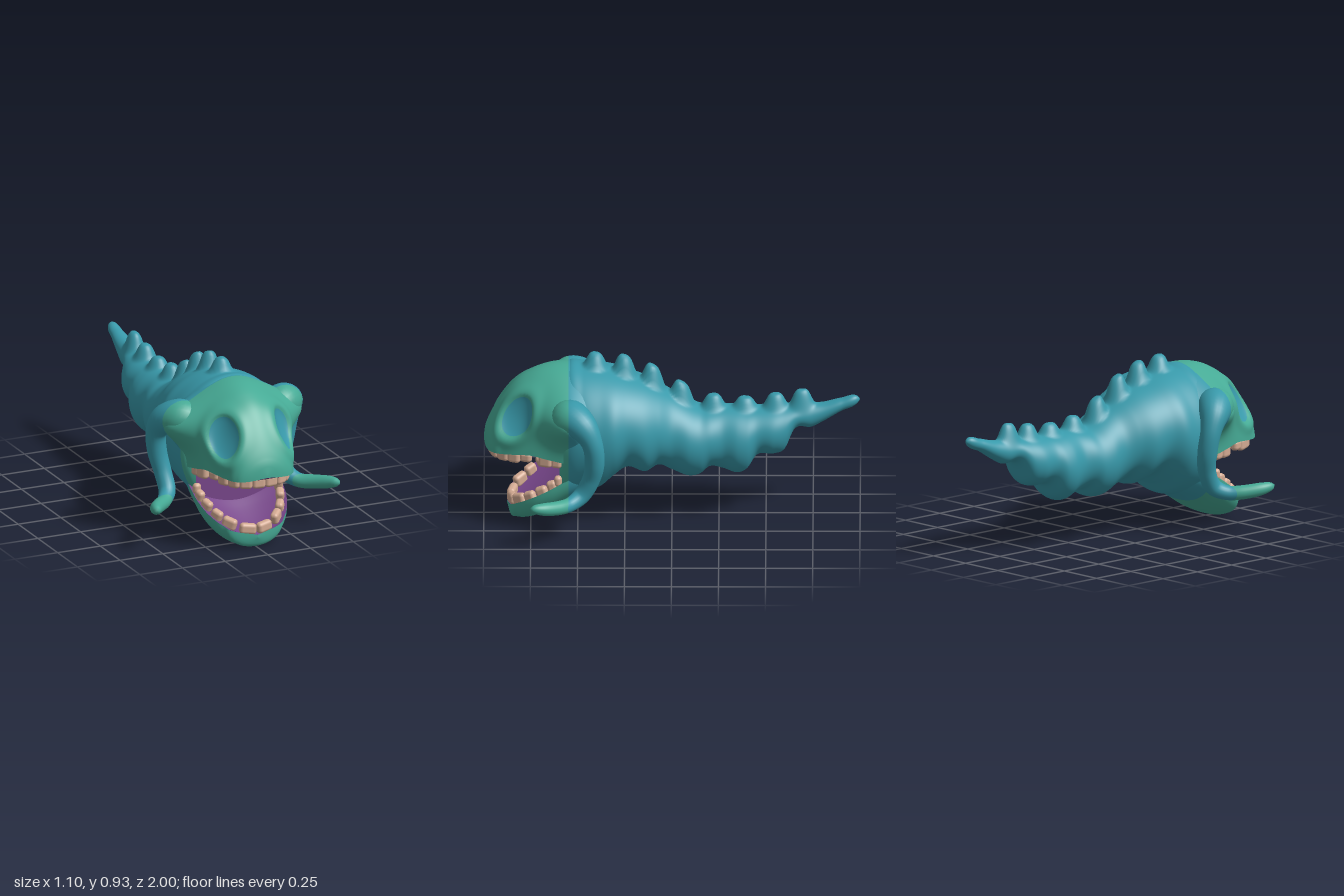
import * as THREE from 'three';
import { mergeVertices } from 'three/addons/utils/BufferGeometryUtils.js';
import { ParametricGeometry } from 'three/addons/geometries/ParametricGeometry.js';
import { RoundedBoxGeometry } from 'three/addons/geometries/RoundedBoxGeometry.js';

const mat = (name, color) => Object.assign(new THREE.MeshStandardMaterial({ color }), { name });
const PI = Math.PI;
const spow = (v, p) => Math.sign(v) * Math.abs(v) ** p;

// Smooth lookup through rows of [key, a, b, c]
function track(rows) {
  const f = new THREE.CubicInterpolant(rows.map(r => r[0]), rows.flatMap(r => r.slice(1)), rows[0].length - 1);
  return k => Array.from(f.evaluate(k));
}

// Smooth surface from a function of (u, v)
function surface(fn, nu, nv) {
  let g = new ParametricGeometry(fn, nu, nv);
  g.deleteAttribute('uv');
  g.deleteAttribute('normal');
  g = mergeVertices(g, 1e-5);
  g.computeVertexNormals();
  return g;
}

// Split a geometry cleanly into two material groups, where f > 0 and f < 0
function splitBy(geo, f) {
  const g = geo.toNonIndexed(), P = g.attributes.position, N = g.attributes.normal;
  const sides = [[], []];
  for (let i = 0; i < P.count; i += 3) {
    const tri = [0, 1, 2].map(k => {
      const p = new THREE.Vector3().fromBufferAttribute(P, i + k);
      return { p, n: new THREE.Vector3().fromBufferAttribute(N, i + k), d: f(p) };
    });
    [1, -1].forEach((s, side) => {
      const poly = [];
      tri.forEach((a, k) => {
        const b = tri[(k + 1) % 3];
        if (a.d * s >= 0) poly.push(a);
        if (a.d * b.d < 0) {
          const t = a.d / (a.d - b.d);
          poly.push({ p: a.p.clone().lerp(b.p, t), n: a.n.clone().lerp(b.n, t).normalize() });
        }
      });
      for (let k = 1; k + 1 < poly.length; k++) sides[side].push(poly[0], poly[k], poly[k + 1]);
    });
  }
  const all = sides.flat(), out = new THREE.BufferGeometry();
  out.setAttribute('position', new THREE.Float32BufferAttribute(all.flatMap(q => q.p.toArray()), 3));
  out.setAttribute('normal', new THREE.Float32BufferAttribute(all.flatMap(q => q.n.toArray()), 3));
  out.addGroup(0, sides[0].length, 0);
  out.addGroup(sides[0].length, sides[1].length, 1);
  return out;
}

const faceLine = p => p.z - 0.55;

// Distance from the eye centre in eye radii, mirrored across x
function eyeDist(p) {
  const q = 0.65 * (Math.abs(p.x) - 0.18) - 0.76 * (p.z - 0.825), b = p.y - 0.628;
  return Math.hypot((q * 0.89 - b * 0.45) / 0.085, (q * 0.45 + b * 0.89) / 0.105);
}

export function createModel() {
  const root = new THREE.Group();
  const green = mat('faceGreen', 0x46aa95), teal = mat('bodyTeal', 0x3899aa);
  const purple = mat('mouthPurple', 0x77468a), bone = mat('toothBone', 0xd3aa92);
  purple.side = THREE.DoubleSide;
  const skin = [green, teal];
  const add = (name, geo, m) => {
    const mesh = new THREE.Mesh(geo, m);
    mesh.name = name;
    root.add(mesh);
    return mesh;
  };

  // Ribbed body, tail to mouth: z, half width, top, bottom
  const bodyAt = track([
    [-1, 0, 0.66, 0.66], [-0.985, 0.018, 0.678, 0.638], [-0.9, 0.038, 0.665, 0.595], [-0.8, 0.053, 0.64, 0.535],
    [-0.74, 0.064, 0.635, 0.505], [-0.65, 0.085, 0.628, 0.495], [-0.6, 0.118, 0.625, 0.385],
    [-0.54, 0.138, 0.622, 0.357], [-0.45, 0.142, 0.617, 0.35], [-0.4, 0.168, 0.617, 0.275],
    [-0.35, 0.175, 0.62, 0.25], [-0.27, 0.162, 0.622, 0.275], [-0.2, 0.18, 0.62, 0.288],
    [-0.15, 0.195, 0.622, 0.247], [-0.09, 0.203, 0.65, 0.235], [0, 0.2, 0.7, 0.27],
    [0.07, 0.23, 0.74, 0.302], [0.14, 0.27, 0.775, 0.267], [0.24, 0.295, 0.81, 0.298],
    [0.31, 0.328, 0.832, 0.25], [0.38, 0.333, 0.848, 0.185], [0.47, 0.33, 0.858, 0.16],
    [0.55, 0.305, 0.86, 0.13], [0.58, 0.28, 0.82, 0.15], [0.598, 0.235, 0.7, 0.2],
  ]);
  // Spine knobs swelling out of the back: z, peak height
  const knobs = [
    [0.405, 0.928], [0.25, 0.913], [0.1, 0.858], [-0.055, 0.76], [-0.22, 0.69], [-0.39, 0.675], [-0.55, 0.695], [-0.69, 0.718],
  ].map(([z, y]) => [z, y - bodyAt(z)[1]]);
  const bodyGeo = surface((u, v, p) => {
    const z = -1 + 1.598 * v, [w, top, bot] = bodyAt(z), a = 2 * PI * u;
    p.set(w * Math.cos(a), (top + bot) / 2 + (top - bot) / 2 * Math.sin(a), z);
    if (Math.sin(a) > 0)
      for (const [kz, h] of knobs) {
        const r = Math.hypot(p.x / 0.052, (z - kz) / 0.054);
        p.y += h * Math.exp(-(r ** 4)) * Math.sin(a);
      }
  }, 120, 200);
  add('body', splitBy(bodyGeo, faceLine), skin);

  // Throat closing the back of the mouth
  add('throat', surface((u, v, p) => {
    const a = 2 * PI * u, r = 1 - v;
    p.set(0.238 * r * spow(Math.cos(a), 0.6), 0.4 + 0.24 * r * spow(Math.sin(a), 0.6), 0.602);
  }, 48, 4), purple);

  // Upper head with sunken eyes and shoulders for the horns: z, half width, top, lip
  const headAt = track([
    [0.45, 0.29, 0.85, 0.44], [0.55, 0.28, 0.865, 0.405], [0.65, 0.262, 0.857, 0.415], [0.75, 0.246, 0.822, 0.435],
    [0.83, 0.224, 0.768, 0.43], [0.9, 0.195, 0.682, 0.422], [0.95, 0.167, 0.6, 0.42], [0.98, 0.125, 0.535, 0.422],
    [0.995, 0.06, 0.49, 0.428], [1, 0, 0.45, 0.435],
  ]);
  const headGeo = surface((u, v, p) => {
    const z = 0.45 + 0.55 * v, [w, top, lip] = headAt(z), a = PI * u;
    const e = 0.95 + 0.1 * THREE.MathUtils.smoothstep(z, 0.55, 0.9);
    p.set(w * spow(Math.cos(a), e), lip + (top - lip) * spow(Math.sin(a), e), z);
    const s = Math.sign(p.x) * THREE.MathUtils.smoothstep(Math.abs(p.x), 0, 0.16);
    const reach = z > 0.55 ? 0.15 : 0.1;
    p.x += s * 0.16 * Math.exp(-(((z - 0.55) / reach) ** 2) - ((p.y - 0.655) / 0.12) ** 2);
    const d = eyeDist(p);
    const push = 0.012 * Math.exp(-(((d - 1.35) / 0.3) ** 2)) - 0.04 * Math.max(0, 1 - (d / 1.15) ** 2);
    p.x += s * 0.6 * push;
    p.y += 0.2 * push;
    p.z += 0.7 * push;
  }, 96, 90);
  add('upperHead', splitBy(headGeo, p => Math.min(faceLine(p), (eyeDist(p) - 1) * 0.08)), skin);
  add('palate', surface((u, v, p) => {
    const z = 0.5 + 0.5 * v, [w, , lip] = headAt(z);
    p.set(w * (2 * u - 1), lip, z);
  }, 12, 30), purple);

  // Lower jaw: z, half width, rim, bottom
  const jawAt = track([
    [0.4, 0.22, 0.36, 0.19], [0.5, 0.25, 0.315, 0.145], [0.58, 0.258, 0.28, 0.1], [0.66, 0.254, 0.232, 0.05],
    [0.75, 0.228, 0.178, 0.012], [0.82, 0.178, 0.133, 0.003], [0.86, 0.112, 0.1, 0.015], [0.876, 0, 0.075, 0.06],
  ]);
  const jawZ = v => 0.4 + 0.476 * Math.sin(v * PI / 2);
  const jawGeo = surface((u, v, p) => {
    const z = jawZ(v), [w, rim, bot] = jawAt(z), a = PI + PI * u;
    p.set(w * spow(Math.cos(a), 0.92), rim + (rim - bot) * spow(Math.sin(a), 0.92), z);
  }, 48, 40);
  add('lowerJaw', splitBy(jawGeo, faceLine), skin);
  add('mouthFloor', surface((u, v, p) => {
    const z = jawZ(v), [w, rim, bot] = jawAt(z);
    p.set(w * (1 - 2 * u), rim - 0.45 * (rim - bot) * Math.sin(PI * u), z);
  }, 16, 30), purple);

  // Curved side horns: x, y, z, radius
  const hornRows = [
    [0.22, 0.66, 0.59, 0.07], [0.295, 0.672, 0.54, 0.1], [0.36, 0.65, 0.475, 0.081], [0.388, 0.57, 0.425, 0.057],
    [0.375, 0.45, 0.41, 0.053], [0.352, 0.34, 0.43, 0.048], [0.35, 0.25, 0.48, 0.046], [0.395, 0.217, 0.54, 0.039],
    [0.45, 0.22, 0.6, 0.038], [0.505, 0.235, 0.68, 0.034], [0.528, 0.247, 0.735, 0.021], [0.533, 0.253, 0.752, 0],
  ];
  const hornRadius = track(hornRows.map((r, i) => [i, r[3]]));
  for (const s of [1, -1]) {
    const n = 70, curve = new THREE.CatmullRomCurve3(hornRows.map(r => new THREE.Vector3(s * r[0], r[1], r[2])));
    const { normals, binormals } = curve.computeFrenetFrames(n);
    const geo = surface((u, v, p) => {
      const i = Math.min(n, Math.max(0, Math.round(v * n))), a = 2 * PI * u;
      const t = curve.getUtoTmapping(i / n);
      const r = Math.max(0, hornRadius(t * (hornRows.length - 1))[0]);
      p.copy(curve.getPoint(t)).addScaledVector(normals[i], r * Math.cos(a)).addScaledVector(binormals[i], r * Math.sin(a));
    }, 24, n);
    add(s > 0 ? 'leftHorn' : 'rightHorn', splitBy(geo, faceLine), skin);
  }

  // Teeth, mirrored: x, y, z, width, height, turn, roll
  const upper = [
    [0.035, 0.402, 0.955, 0.074, 0.066, 0.1, 0], [0.1, 0.402, 0.937, 0.07, 0.066, 0.45, 0], [0.148, 0.402, 0.895, 0.07, 0.066, 1, 0],
    [0.182, 0.404, 0.838, 0.07, 0.066, 1.15, 0], [0.207, 0.412, 0.775, 0.065, 0.055, 1.2, 0],
    [0.23, 0.402, 0.672, 0.075, 0.075, 1.25, 0], [0.238, 0.398, 0.613, 0.06, 0.07, 1.3, 0],
  ];
  const lower = [
    [0.047, 0.108, 0.848, 0.092, 0.06, 0.25, 0.12], [0.136, 0.138, 0.808, 0.082, 0.066, 0.8, 0.3],
    [0.184, 0.172, 0.752, 0.067, 0.064, 1, 0.4], [0.214, 0.213, 0.69, 0.067, 0.064, 1.2, 0.4],
    [0.23, 0.25, 0.635, 0.055, 0.068, 1.35, 0.3], [0.234, 0.284, 0.605, 0.04, 0.06, 1.4, 0],
  ];
  for (const [name, rows] of [['upperTooth', upper], ['lowerTooth', lower]])
    for (const [x, y, z, w, h, turn, roll] of rows)
      for (const s of [1, -1]) {
        const m = add(name, new RoundedBoxGeometry(w, h, 0.045, 3, 0.019), bone);
        m.position.set(s * x, y, z);
        m.rotation.set(0, s * turn, s * roll);
      }

  return root;
}
